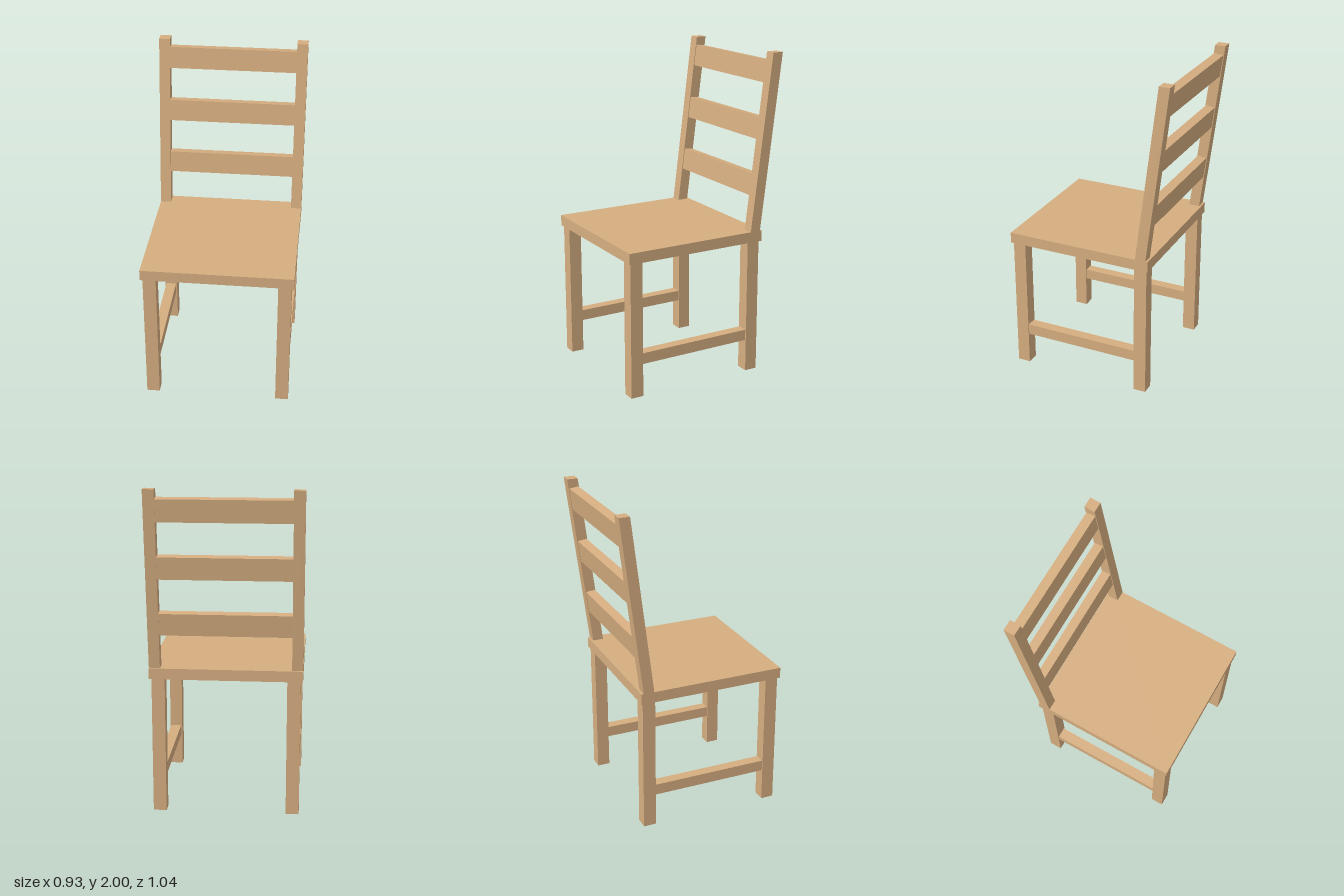
import * as THREE from 'three';

const wood = new THREE.MeshStandardMaterial({ color: 0xd6ae80 });
wood.name = 'light wood';

const LEAN = 0.1244; // backward shift per unit of height
const SEAT_TOP = 0.915;
const POST_FRONT = -0.319; // front of the back posts at seat height
const POST_DEPTH = 0.067;

// Box given by its minimum and maximum corners
function box(name, [x0, y0, z0], [x1, y1, z1]) {
  const mesh = new THREE.Mesh(new THREE.BoxGeometry(x1 - x0, y1 - y0, z1 - z0), wood);
  mesh.position.set((x0 + x1) / 2, (y0 + y1) / 2, (z0 + z1) / 2);
  mesh.name = name;
  return mesh;
}

// Leaning post with level ends: a box sheared backwards
function backPost(name, side) {
  const height = 2 - SEAT_TOP;
  const geometry = new THREE.BoxGeometry(0.067, height, POST_DEPTH);
  geometry.translate(0, height / 2, 0);
  const shear = new THREE.Matrix4().set(1, 0, 0, 0, 0, 1, 0, 0, 0, -LEAN, 1, 0, 0, 0, 0, 1);
  geometry.applyMatrix4(shear);
  geometry.computeVertexNormals();
  const mesh = new THREE.Mesh(geometry, wood);
  mesh.position.set(side * 0.429, SEAT_TOP, POST_FRONT - POST_DEPTH / 2);
  mesh.name = name;
  return mesh;
}

// Slat tilted to follow the posts, centred in their depth
function slat(name, y) {
  const mesh = new THREE.Mesh(new THREE.BoxGeometry(0.8, 0.135, 0.058), wood);
  mesh.position.set(0, y, POST_FRONT - POST_DEPTH / 2 - LEAN * (y - SEAT_TOP));
  mesh.rotation.x = -Math.atan(LEAN);
  mesh.name = name;
  return mesh;
}

export function createModel() {
  const chair = new THREE.Group();
  chair.name = 'chair';

  chair.add(box('seat', [-0.462, 0.848, -0.4], [0.462, SEAT_TOP, 0.52]));

  // Legs, side stretchers and back posts, mirrored
  for (const [label, side] of [['left', 1], ['right', -1]]) {
    const x0 = side > 0 ? 0.368 : -0.448;
    const x1 = x0 + 0.08;
    chair.add(
      box(label + 'FrontLeg', [x0, 0, 0.428], [x1, 0.848, 0.508]),
      box(label + 'BackLeg', [x0, 0, -0.388], [x1, 0.848, -0.308]),
      box(label + 'Stretcher', [x0 + 0.007, 0.204, -0.308], [x1 - 0.007, 0.273, 0.428]),
      backPost(label + 'BackPost', side)
    );
  }

  // Back slats
  [1.193, 1.538, 1.879].forEach((y, i) => chair.add(slat('backSlat' + (i + 1), y)));

  return chair;
}
